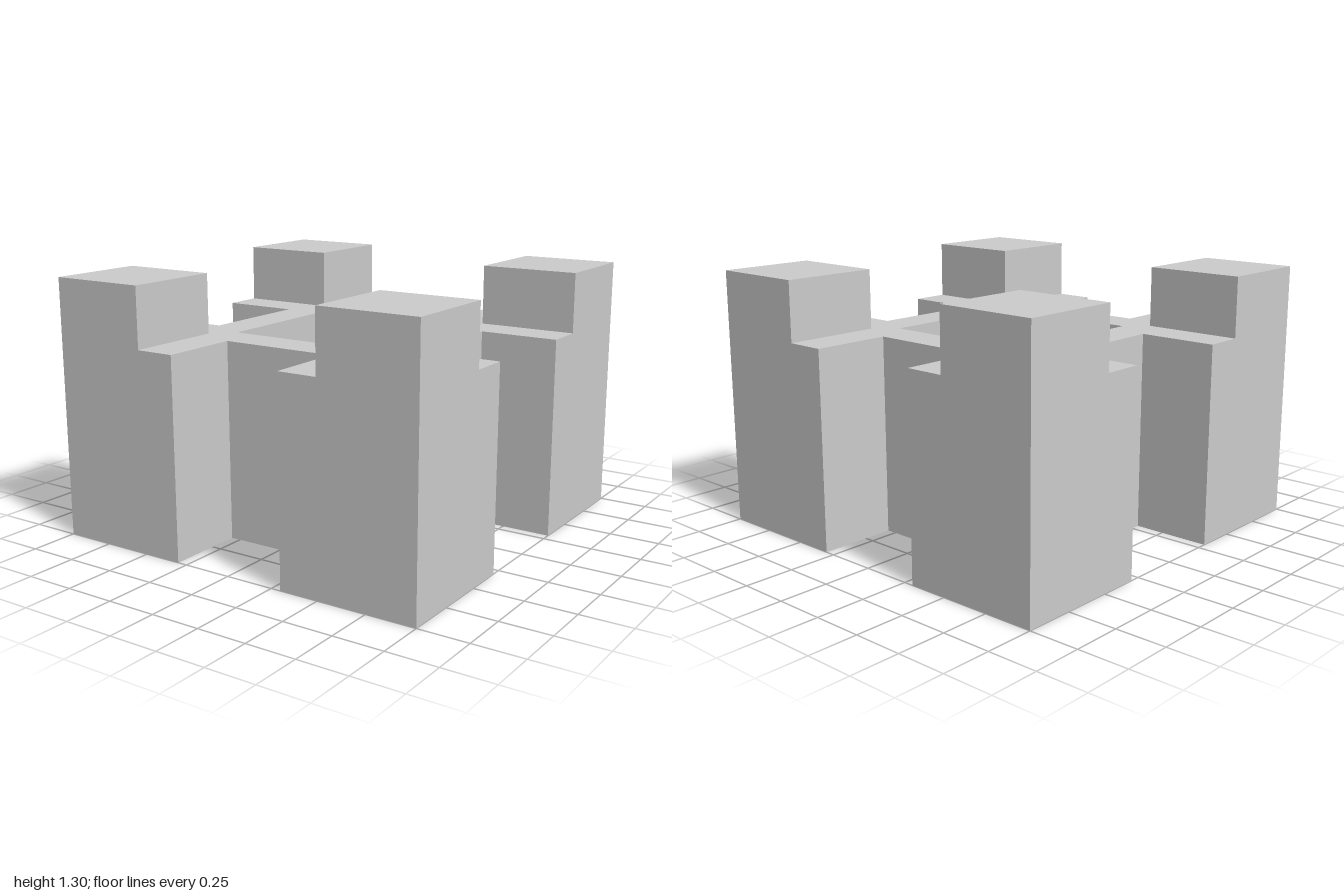
import * as THREE from 'three';

const HALF = 1;          // half width of the footprint
const WALL_TOP = 1;      // height of the walls
const TURRET_TOP = 1.3;  // height of the corner turrets
const TURRET = 0.5;      // turret width
const PIT = 0.4;         // half width of the courtyard
const PIT_FLOOR = 0.6;   // height of the courtyard floor

export function createModel() {
  const group = new THREE.Group();
  const material = new THREE.MeshStandardMaterial({ color: 0xcccccc, flatShading: true });

  const add = (name, geometry, x = 0, y = 0, z = 0) => {
    const mesh = new THREE.Mesh(geometry, material);
    mesh.name = name;
    mesh.position.set(x, y, z);
    group.add(mesh);
  };

  // Walls: square footprint with a notch in each side and an open courtyard
  const side = [[HALF, -HALF], [HALF, -0.3], [0.6, -0.3], [0.6, 0.3], [HALF, 0.3]];
  const outline = [];
  for (let i = 0; i < 4; i++) {
    for (const [x, y] of side) {
      outline.push(new THREE.Vector2(x, y).rotateAround(new THREE.Vector2(), i * Math.PI / 2));
    }
  }
  // each side starts on the corner where the previous one ends
  const shape = new THREE.Shape(outline);
  shape.holes.push(new THREE.Path([
    new THREE.Vector2(-PIT, -PIT), new THREE.Vector2(-PIT, PIT),
    new THREE.Vector2(PIT, PIT), new THREE.Vector2(PIT, -PIT),
  ]));
  const walls = new THREE.ExtrudeGeometry(shape, { depth: WALL_TOP, bevelEnabled: false });
  walls.rotateX(-Math.PI / 2);
  add('walls', walls);

  // Courtyard floor: solid block filling the bottom of the opening
  add('courtyardFloor', new THREE.BoxGeometry(2 * PIT, PIT_FLOOR, 2 * PIT), 0, PIT_FLOOR / 2, 0);

  // Corner turrets
  const rise = TURRET_TOP - WALL_TOP;
  const turret = new THREE.BoxGeometry(TURRET, rise, TURRET);
  const offset = HALF - TURRET / 2;
  for (const [sx, xName] of [[1, 'Left'], [-1, 'Right']]) {
    for (const [sz, zName] of [[1, 'front'], [-1, 'back']]) {
      add(`${zName}${xName}Turret`, turret, sx * offset, WALL_TOP + rise / 2, sz * offset);
    }
  }

  return group;
}
